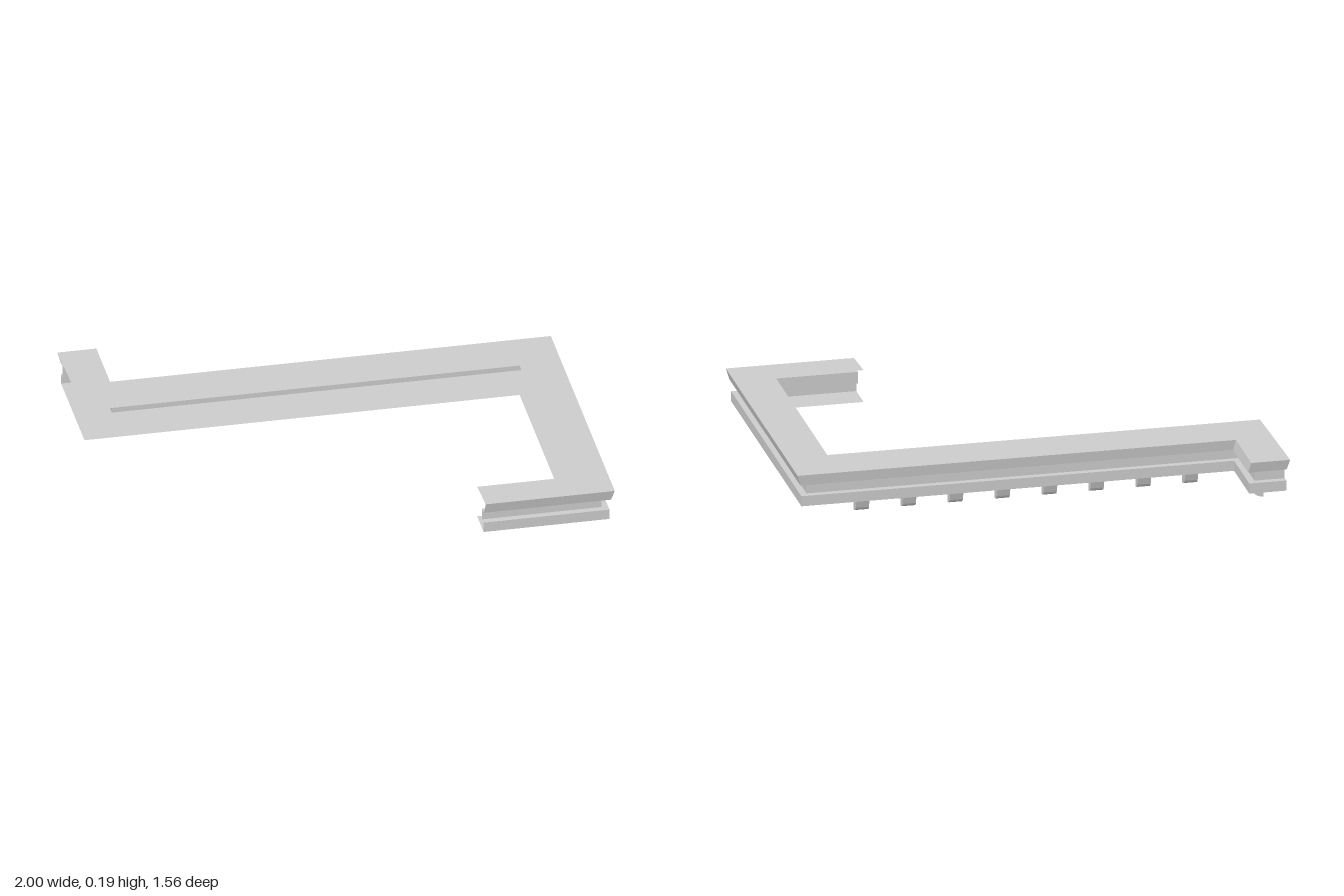
import * as THREE from 'three';

const mat = new THREE.MeshStandardMaterial({ color: 0xcccccc, side: THREE.DoubleSide, flatShading: true });
const smoothMat = new THREE.MeshStandardMaterial({ color: 0xcccccc, side: THREE.DoubleSide });

// Outer outline of the moulding as [x, z], pulled inward by d
const outline = (d, s = 1) => [
  [0.455, 0.766 - d], [0.98 - d, 0.766 - d], [0.98 - d, -0.492 + d],
  [-0.835 - d, -0.492 + d], [-0.835 - d, -0.765 + d], [-0.99, -0.765 + d],
].map(([x, z]) => [x * s, z * s]);

// Inner edge shared by the top and bottom plates
const inner = [[-0.99, -0.295], [0.825, -0.295], [0.825, 0.635], [0.455, 0.635]];

// Wall strip between two outlines at two heights
function strip(name, lower, y0, upper, y1) {
  const pos = [];
  for (let i = 0; i < lower.length - 1; i++) {
    const a = [lower[i][0], y0, lower[i][1]], b = [lower[i + 1][0], y0, lower[i + 1][1]];
    const c = [upper[i + 1][0], y1, upper[i + 1][1]], d = [upper[i][0], y1, upper[i][1]];
    pos.push(...a, ...b, ...c, ...a, ...c, ...d);
  }
  const geo = new THREE.BufferGeometry();
  geo.setAttribute('position', new THREE.Float32BufferAttribute(pos, 3));
  geo.computeVertexNormals();
  const mesh = new THREE.Mesh(geo, mat);
  mesh.name = name;
  return mesh;
}

// Flat horizontal plate
function plate(name, outer, y, faceDown) {
  const shape = new THREE.Shape([...outer, ...inner].map(([x, z]) => new THREE.Vector2(x, -z)));
  const geo = new THREE.ShapeGeometry(shape).rotateX(-Math.PI / 2).translate(0, y, 0);
  if (faceDown) {
    geo.index.array.reverse();
    geo.computeVertexNormals();
  }
  const mesh = new THREE.Mesh(geo, mat);
  mesh.name = name;
  return mesh;
}

// Small bracket with a rounded outer lower corner; local +x points outward
function bracketGeometry(width, top) {
  const s = new THREE.Shape();
  s.moveTo(0, 0);
  s.quadraticCurveTo(0.036, 0.004, 0.042, 0.022);
  s.lineTo(0.053, top);
  s.lineTo(0, top);
  s.closePath();
  return new THREE.ExtrudeGeometry(s, { depth: width, bevelEnabled: false, curveSegments: 5 })
    .translate(0, 0, -width / 2);
}

export function createModel() {
  const model = new THREE.Group();
  model.name = 'corniceMoulding';
  const y = [0.056, 0.1, 0.15, 0.195];
  const low = outline(0), mid = outline(0.028), lip = outline(-0.006), crown = outline(-0.006, 1.013);

  // Stepped profile from bottom to top
  model.add(
    plate('bottomPlate', low, y[0], true),
    strip('lowerBand', low, y[0], low, y[1]),
    strip('lowerLedge', low, y[1], mid, y[1]),
    strip('recessedBand', mid, y[1], mid, y[2]),
    strip('upperLedge', mid, y[2], lip, y[2]),
    strip('crownBand', lip, y[2], crown, y[3]),
    plate('topPlate', crown, y[3], false),
  );

  // Brackets under the side run, the long back run and the short return
  const geo = bracketGeometry(0.055, y[0]);
  const brackets = new THREE.Group();
  brackets.name = 'brackets';
  const addBracket = (name, x, z, turn) => {
    const m = new THREE.Mesh(geo, smoothMat);
    m.name = name;
    m.position.set(x, 0, z);
    m.rotation.y = turn;
    brackets.add(m);
  };
  for (let i = 0; i < 5; i++) addBracket('sideBracket', 0.892, 0.505 - i * 0.199, 0);
  for (let i = 0; i < 8; i++) addBracket('backBracket', -0.66 + i * 0.197, -0.428, Math.PI / 2);
  addBracket('returnBracket', -0.918, -0.64, 0);
  model.add(brackets);
  return model;
}
